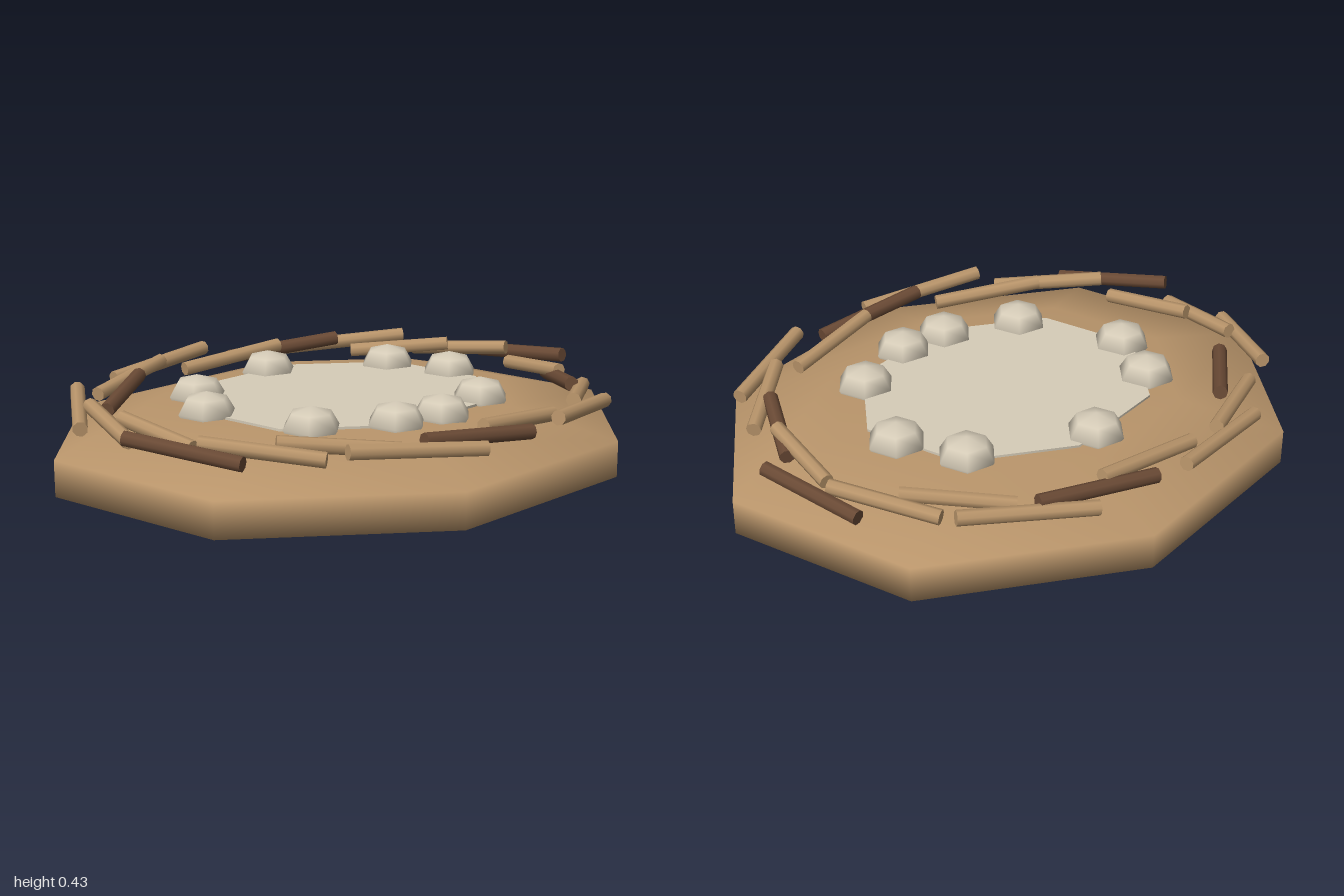
import * as THREE from 'three';

const tan = new THREE.MeshStandardMaterial({ name: 'tan straw', color: 0xb8946a });
const brown = new THREE.MeshStandardMaterial({ name: 'dark twig', color: 0x6a4a35 });
const cream = new THREE.MeshStandardMaterial({ name: 'cream', color: 0xd6ccb8 });

const DEPTH = 0.845; // the nest is a little shallower than wide

// Twigs round the rim: high end x, z then low end x, z
const lightTwigs = [
  [-0.20, -0.73, -0.60, -0.57], [0.55, -0.60, 0.13, -0.74], [0.06, -0.65, -0.33, -0.59],
  [-0.41, -0.61, -0.72, -0.39], [0.63, -0.40, 0.33, -0.59], [0.79, -0.25, 0.56, -0.53],
  [-0.80, -0.36, -0.91, 0], [-0.83, -0.14, -0.82, 0.20], [-0.79, 0.05, -0.67, 0.35],
  [-0.68, 0.42, -0.36, 0.64], [-0.47, 0.52, -0.11, 0.64], [-0.32, 0.70, 0.13, 0.74],
  [0.18, 0.63, 0.52, 0.49], [0.44, 0.65, 0.77, 0.42], [0.60, 0.49, 0.82, 0.21],
  [0.775, 0.13, 0.76, -0.18],
];
const darkTwigs = [
  [0.30, -0.66, -0.12, -0.69], [-0.55, -0.45, -0.76, -0.18], [0.91, -0.06, 0.77, -0.40],
  [-0.86, 0.27, -0.60, 0.57], [-0.06, 0.69, 0.35, 0.64], [0.71, 0.31, 0.80, 0.01],
];
const pebbles = [
  [-0.09, -0.40], [0.33, -0.30], [0.475, -0.11], [0.39, 0.25], [0.17, 0.385],
  [-0.005, 0.405], [-0.27, 0.34], [-0.495, 0.03], [-0.44, -0.19],
];

function twig([x1, z1, x2, z2], material) {
  const a = new THREE.Vector3(x1, 0.385, z1);
  const b = new THREE.Vector3(x2, 0.35, z2);
  const dir = b.clone().sub(a);
  const mesh = new THREE.Mesh(new THREE.CylinderGeometry(0.025, 0.025, dir.length(), 8), material);
  mesh.position.copy(a).add(b).multiplyScalar(0.5);
  mesh.quaternion.setFromUnitVectors(new THREE.Vector3(0, 1, 0), dir.normalize());
  mesh.name = 'twig';
  return mesh;
}

export function createModel() {
  const model = new THREE.Group();
  model.name = 'nest';

  // Eight-sided bowl body
  const profile = [[0, 0], [0.62, 0.04], [1, 0.14], [1, 0.26], [0.62, 0.355], [0, 0.357]]
    .map(([r, y]) => new THREE.Vector2(r, y));
  const body = new THREE.Mesh(new THREE.LatheGeometry(profile, 8), tan);
  body.scale.z = DEPTH;
  body.name = 'body';
  model.add(body);

  // Pale lining in the middle
  const lining = new THREE.Mesh(new THREE.CylinderGeometry(0.52, 0.52, 0.009, 8), cream);
  lining.scale.z = DEPTH;
  lining.position.y = 0.359;
  lining.name = 'lining';
  model.add(lining);

  // Ring of tilted twigs
  const twigs = new THREE.Group();
  twigs.name = 'twigs';
  lightTwigs.forEach((t) => twigs.add(twig(t, tan)));
  darkTwigs.forEach((t) => twigs.add(twig(t, brown)));
  model.add(twigs);

  // Six-sided flattened pebbles round the lining
  const pebbleShape = new THREE.SphereGeometry(0.098, 6, 4);
  pebbles.forEach(([x, z]) => {
    const pebble = new THREE.Mesh(pebbleShape, cream);
    pebble.position.set(x, 0.365, z);
    pebble.scale.y = 0.7;
    pebble.name = 'pebble';
    model.add(pebble);
  });

  return model;
}
